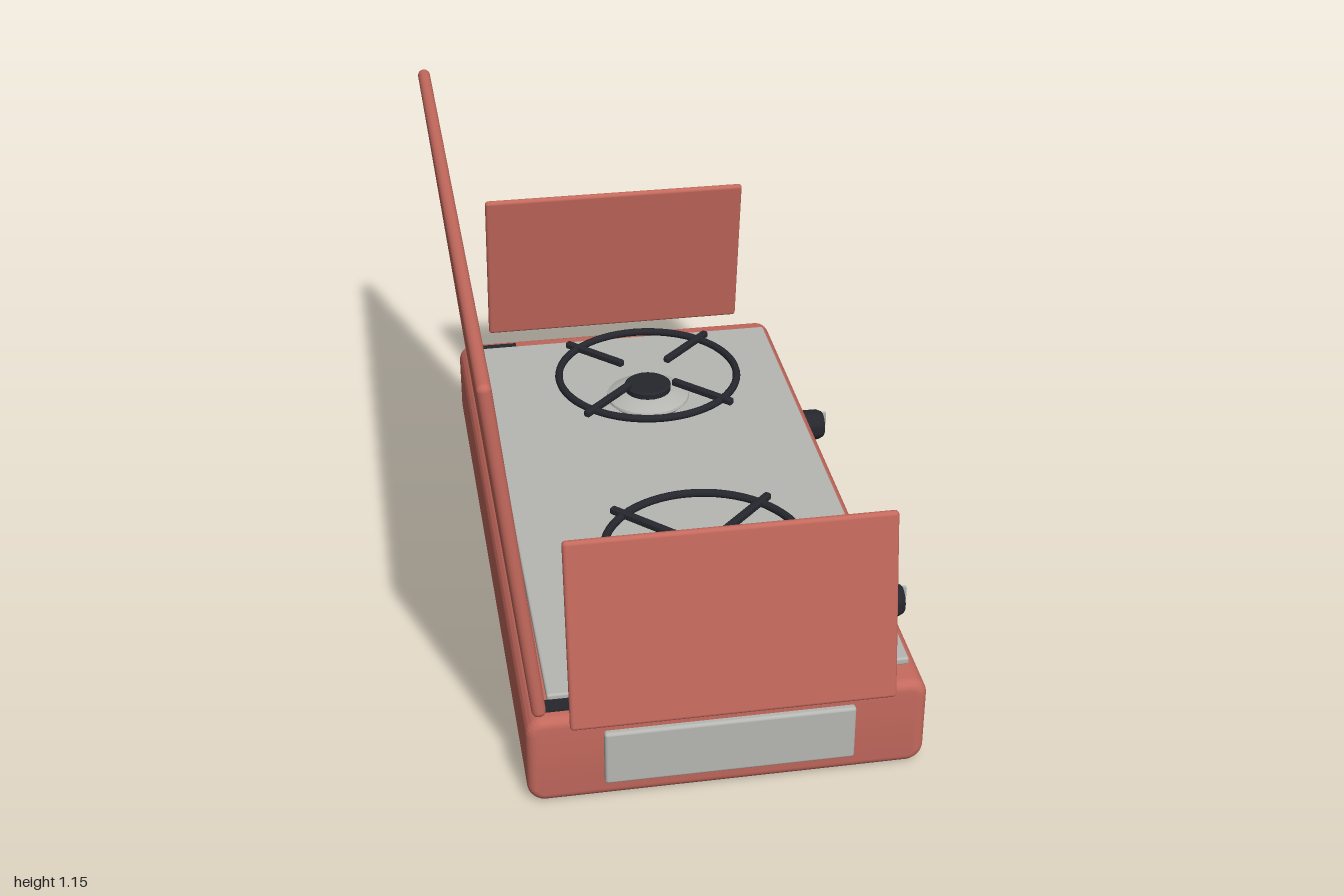
import * as THREE from 'three';
import { RoundedBoxGeometry } from 'three/addons/geometries/RoundedBoxGeometry.js';
import { toCreasedNormals } from 'three/addons/utils/BufferGeometryUtils.js';

const material = (name, color) => {
  const m = new THREE.MeshStandardMaterial({ color });
  m.name = name;
  return m;
};

// Rounded rectangle outline swept along z, with smaller rounded ends
function roundedPrism(w, h, d, r, bevel) {
  const a = w / 2 - r, b = h / 2 - r;
  const shape = new THREE.Shape();
  shape.absarc(a, b, r, 0, Math.PI / 2);
  shape.absarc(-a, b, r, Math.PI / 2, Math.PI);
  shape.absarc(-a, -b, r, Math.PI, Math.PI * 1.5);
  shape.absarc(a, -b, r, Math.PI * 1.5, Math.PI * 2);
  const geo = new THREE.ExtrudeGeometry(shape, {
    depth: d - 2 * bevel, bevelSize: bevel, bevelThickness: bevel,
    bevelOffset: -bevel, bevelSegments: 5, curveSegments: 8,
  });
  geo.translate(0, 0, -d / 2 + bevel);
  return toCreasedNormals(geo, 0.6);
}

const lathe = (points, segments = 40) =>
  toCreasedNormals(new THREE.LatheGeometry(points.map(([x, y]) => new THREE.Vector2(x, y)), segments), 0.6);

export function createModel() {
  const red = material('red enamel', 0xc4695d);
  const steel = material('steel', 0xb6b6b2);
  const black = material('black', 0x26272e);

  const model = new THREE.Group();
  model.name = 'campStove';
  const add = (parent, name, geo, mat, x = 0, y = 0, z = 0) => {
    const mesh = new THREE.Mesh(geo, mat);
    mesh.name = name;
    mesh.position.set(x, y, z);
    parent.add(mesh);
    return mesh;
  };
  const box = (w, h, d, r) => new RoundedBoxGeometry(w, h, d, 4, r);

  // Case, cooktop and raised lid
  add(model, 'body', roundedPrism(0.974, 0.244, 1.886, 0.045, 0.024), red, -0.002, 0.123, 0);
  add(model, 'cooktop', box(0.885, 0.02, 1.735, 0.006), steel, 0.0125, 0.253, 0);
  const lid = add(model, 'lid', box(0.034, 0.909, 1.882, 0.0165), red, -0.5015, 0.703, 0);
  lid.rotation.z = 0.105;

  // Leaning wind shields and lid hinges at both ends
  for (const s of [1, -1]) {
    const shield = add(model, 'windShield', box(0.78, 0.484, 0.02, 0.0095), red, 0, 0.49, s * 0.954);
    shield.rotation.x = -s * 0.15;
    add(model, 'hinge', new THREE.BoxGeometry(0.125, 0.016, 0.042), black, -0.378, 0.242, s * 0.888);
  }

  // Front panel plate and rear carrying handle
  add(model, 'frontPlate', box(0.61, 0.15, 0.024, 0.008), steel, 0, 0.125, 0.947);
  add(model, 'rearHandle', box(0.26, 0.04, 0.034, 0.012), black, 0, 0.155, -0.967);

  // Burners with pan supports, and the knob for each
  const bowlGeo = lathe([[0, 0.255], [0.085, 0.255], [0.1, 0.268], [0.12, 0.287], [0.118, 0.294], [0.085, 0.31], [0, 0.312]]);
  const capGeo = lathe([[0, 0.3], [0.066, 0.3], [0.067, 0.326], [0.062, 0.33], [0, 0.33]]);
  const ringGeo = new THREE.TorusGeometry(0.258, 0.011, 10, 64);
  ringGeo.rotateX(Math.PI / 2);
  const spokeGeo = box(0.206, 0.02, 0.02, 0.006);
  const knobGeo = lathe([[0, 0], [0.042, 0], [0.045, 0.004], [0.045, 0.045], [0.038, 0.06], [0.034, 0.063], [0, 0.063]], 32);

  for (const z of [0.457, -0.457]) {
    const burner = new THREE.Group();
    burner.name = 'burner';
    burner.position.set(0.026, 0, z);
    model.add(burner);
    add(burner, 'burnerBowl', bowlGeo, steel);
    add(burner, 'burnerCap', capGeo, black);
    add(burner, 'supportRing', ringGeo, black, 0, 0.36, 0);
    for (let i = 0; i < 4; i++) {
      const a = Math.PI / 4 + i * Math.PI / 2;
      const spoke = add(burner, 'supportSpoke', spokeGeo, black, 0.193 * Math.cos(a), 0.364, -0.193 * Math.sin(a));
      spoke.rotation.y = a;
    }

    const knob = add(model, 'knob', knobGeo, black, 0.492, 0.139, z);
    knob.rotation.z = -Math.PI / 2;
    add(model, 'knobPointer', new THREE.BoxGeometry(0.009, 0.04, 0.011), steel, 0.559, 0.157, z);
    add(model, 'knobStem', new THREE.CylinderGeometry(0.015, 0.015, 0.03, 16), black, 0.485, 0.139, z).rotation.z = Math.PI / 2;
  }
  return model;
}
